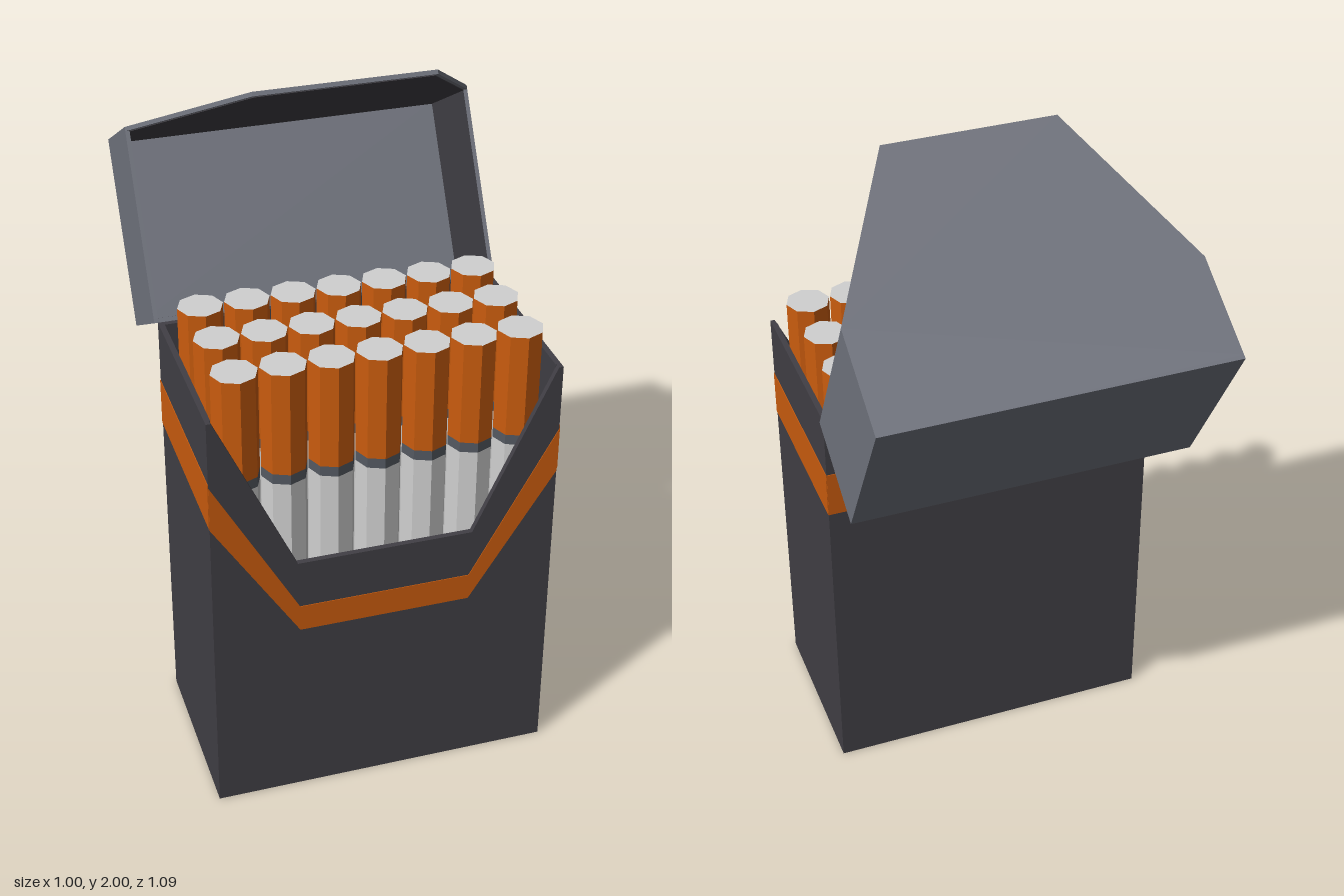
import * as THREE from 'three';

const mat = (name, color, side = THREE.FrontSide) => {
  const m = new THREE.MeshStandardMaterial({ color, side });
  m.name = name;
  return m;
};

export function createModel() {
  const dark = mat('charcoal card', 0x413f45);
  const grey = mat('grey lid card', 0x70737d);
  const orange = mat('orange', 0xca5c0e);
  const white = mat('white paper', 0xd0d0d0);
  const ring = mat('slate ring', 0x545961);

  const W = 0.49, D = 0.545, H = 1.275, T = 0.016;

  const add = (parent, name, geometry, material, x = 0, y = 0, z = 0) => {
    const mesh = new THREE.Mesh(geometry, material);
    mesh.name = name;
    mesh.position.set(x, y, z);
    parent.add(mesh);
    return mesh;
  };
  // box given by its minimum and maximum corners
  const slab = (parent, name, material, x0, y0, z0, x1, y1, z1) =>
    add(parent, name, new THREE.BoxGeometry(x1 - x0, y1 - y0, z1 - z0), material,
      (x0 + x1) / 2, (y0 + y1) / 2, (z0 + z1) / 2);
  // flat outline in xy, extruded forward from z
  const sheet = (parent, name, material, points, z, depth) => {
    const shape = new THREE.Shape(points.map(([x, y]) => new THREE.Vector2(x, y)));
    return add(parent, name, new THREE.ExtrudeGeometry(shape, { depth, bevelEnabled: false }), material, 0, 0, z);
  };

  const model = new THREE.Group();
  model.name = 'openFlipTopBox';

  // Box body with a notched front
  const body = new THREE.Group();
  body.name = 'boxBody';
  model.add(body);
  slab(body, 'floor', dark, -W, 0, 0, W, T, D);
  slab(body, 'backWall', dark, -W, T, 0, W, H, T);
  sheet(body, 'frontWall', dark, [
    [-W, T], [W, T], [W, H], [0.477, H], [0.25, 0.785], [-0.25, 0.785], [-0.477, H], [-W, H],
  ], D - T, T);
  for (const s of [-1, 1]) {
    const x = s * (W - T / 2);
    slab(body, s > 0 ? 'leftWall' : 'rightWall', dark, x - T / 2, T, T, x + T / 2, H, D - T);
  }

  // Orange stripe around all four walls
  const stripe = new THREE.Group();
  stripe.name = 'stripe';
  model.add(stripe);
  const e = 0.002;
  sheet(stripe, 'frontStripe', orange, [
    [-W, 0.945], [-0.245, 0.56], [0.245, 0.56], [W, 0.945],
    [W, 1.08], [0.245, 0.64], [-0.245, 0.64], [-W, 1.08],
  ], D, e);
  slab(stripe, 'backStripe', orange, -W, 0.95, -e, W, 1.09, 0);
  slab(stripe, 'leftStripe', orange, W, 0.95, 0, W + e, 1.09, D);
  slab(stripe, 'rightStripe', orange, -W - e, 0.95, 0, -W, 1.09, D);

  // Three rows of seven sticks
  const sticks = new THREE.Group();
  sticks.name = 'sticks';
  model.add(sticks);
  const sections = [
    ['paperTube', T, 1.035, [white, white, white]],
    ['ring', 1.035, 1.065, [ring, ring, ring]],
    ['filter', 1.065, 1.37, [orange, white, orange]],
  ].map(([name, y0, y1, mats]) => {
    const geometry = new THREE.CylinderGeometry(0.064, 0.064, y1 - y0, 8).toNonIndexed();
    geometry.computeVertexNormals(); // flat facets
    return { name, geometry, mats, y: (y0 + y1) / 2 };
  });
  for (let row = 0; row < 3; row++) {
    for (let i = 0; i < 7; i++) {
      for (const p of sections) {
        add(sticks, p.name, p.geometry, p.mats, (i - 3) * 0.131, p.y, 0.105 + row * 0.18);
      }
    }
  }

  // Lid, built closed and swung back 120 degrees on the rear edge
  const lid = new THREE.Group();
  lid.name = 'lid';
  lid.position.set(0, H, 0);
  lid.rotation.x = -Math.PI * 2 / 3;
  model.add(lid);
  const LW = 0.5, LH = 0.31, t = 0.012;
  slab(lid, 'lidTop', grey, -LW, LH - t, 0, LW, LH, D);
  slab(lid, 'lidBack', [grey, grey, grey, grey, dark, grey], -LW, 0, 0, LW, LH - t, t);
  for (const s of [-1, 1]) {
    const x = s * (LW - t / 2);
    const mats = s > 0 ? [grey, dark, grey, grey, grey, grey] : [dark, grey, grey, grey, grey, grey];
    slab(lid, s > 0 ? 'lidLeft' : 'lidRight', mats, x - t / 2, 0, t, x + t / 2, LH - t, D - t);
  }
  sheet(lid, 'lidFlap', grey, [
    [-LW, LH - t], [-LW, 0], [-0.25, -0.5], [0.25, -0.5], [LW, 0], [LW, LH - t],
  ], D - t, t);
  sheet(lid, 'flapLining', dark, [
    [-LW + t, LH - t], [-LW + t, 0], [-0.243, -0.49], [0.243, -0.49], [LW - t, 0], [LW - t, LH - t],
  ], D - t - e, e);

  return model;
}
